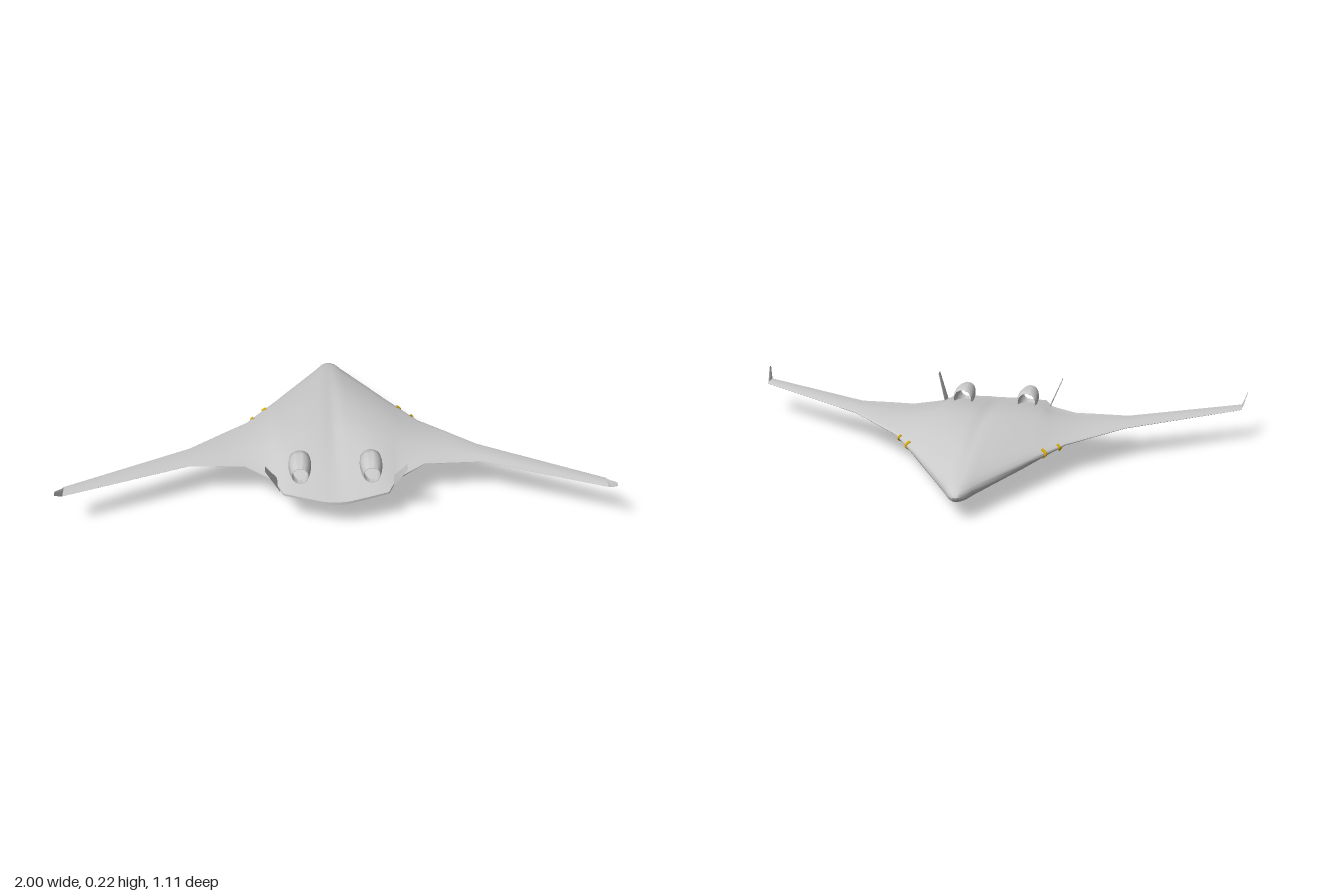
import * as THREE from 'three';
import { toCreasedNormals } from 'three/addons/utils/BufferGeometryUtils.js';

const grey = new THREE.MeshStandardMaterial({ color: 0xcccccc, side: THREE.DoubleSide });
const yellow = new THREE.MeshStandardMaterial({ color: 0xe0b000 });

// Airfoil: [fraction of chord, fraction of full thickness]
const FOIL = [[0, 0], [0.004, 0.12], [0.015, 0.22], [0.05, 0.37], [0.1, 0.51], [0.15, 0.62], [0.24, 0.8],
  [0.33, 0.93], [0.44, 1], [0.55, 0.99], [0.61, 0.94], [0.7, 0.8], [0.8, 0.57], [0.89, 0.32], [1, 0.06]];

// Closed section for a station [x, leadZ, trailZ, leadY, trailY, topY, bottomY]
function section([x, z0, z1, y0, y1, top, bottom]) {
  const mid = y0 + (y1 - y0) * 0.48;
  const at = ([t, f], peak) => [x, z0 === z1 ? z0 : y0 + (y1 - y0) * t + f * (peak - mid), z0 + (z1 - z0) * t];
  const upper = FOIL.map((p) => at(p, top));
  const lower = FOIL.slice(1).reverse().map((p) => at(p, bottom));
  return [...upper, ...lower];
}

// Skin over sections ordered by growing x, closed at both ends
function loft(name, stations) {
  const rings = stations.map(section);
  const n = rings[0].length;
  const index = [];
  for (let i = 0; i < rings.length - 1; i++) {
    for (let j = 0; j < n; j++) {
      const k = (j + 1) % n;
      const a = i * n + j, b = i * n + k, c = (i + 1) * n + k, d = (i + 1) * n + j;
      index.push(a, b, c, a, c, d);
    }
  }
  const last = (rings.length - 1) * n;
  for (let j = 1; j < n - 1; j++) {
    index.push(0, j + 1, j, last, last + j, last + j + 1);
  }
  const geo = new THREE.BufferGeometry();
  geo.setAttribute('position', new THREE.Float32BufferAttribute(rings.flat(2), 3));
  geo.setIndex(index);
  const mesh = new THREE.Mesh(toCreasedNormals(geo, 0.7), grey);
  mesh.name = name;
  return mesh;
}

const mirrored = (stations) => stations.map(([x, ...rest]) => [-x, ...rest]).reverse();

function tube(name, points, radius) {
  const curve = new THREE.CatmullRomCurve3(points.map((p) => new THREE.Vector3(...p)));
  const mesh = new THREE.Mesh(new THREE.TubeGeometry(curve, 16, radius, 8), yellow);
  mesh.name = name;
  return mesh;
}

export function createModel() {
  const model = new THREE.Group();
  model.name = 'blendedWingAircraft';

  // Blended body and wings, centre line to wing tip
  const half = [
    [0, -0.56, 0.52, 0.092, 0.1, 0.183, 0],
    [0.012, -0.557, 0.52, 0.092, 0.1, 0.184, 0.003],
    [0.028, -0.542, 0.519, 0.092, 0.1, 0.186, 0.01],
    [0.05, -0.5, 0.517, 0.093, 0.102, 0.187, 0.019],
    [0.12, -0.38, 0.497, 0.1, 0.108, 0.181, 0.034],
    [0.19, -0.262, 0.475, 0.107, 0.114, 0.172, 0.049],
    [0.22, -0.21, 0.4, 0.11, 0.118, 0.166, 0.061],
    [0.25, -0.163, 0.37, 0.114, 0.122, 0.159, 0.073],
    [0.33, -0.035, 0.305, 0.121, 0.13, 0.142, 0.107],
    [0.42, 0.05, 0.303, 0.125, 0.132, 0.139, 0.115],
    [0.54, 0.165, 0.3, 0.129, 0.133, 0.138, 0.122],
    [0.98, 0.435, 0.5, 0.137, 0.138, 0.141, 0.134],
  ];
  model.add(loft('bodyAndWings', [...mirrored(half.slice(1)), ...half]));

  // Upturned wing tips and canted tail fins
  const winglet = [
    [0.979, 0.435, 0.5, 0.137, 0.138, 0.141, 0.134],
    [0.986, 0.465, 0.515, 0.147, 0.147, 0.151, 0.143],
    [1, 0.53, 0.553, 0.177, 0.175, 0.178, 0.174],
  ];
  const fin = [
    [0.203, 0.35, 0.425, 0.095, 0.095, 0.103, 0.087],
    [0.255, 0.446, 0.482, 0.215, 0.215, 0.219, 0.211],
  ];
  model.add(loft('leftWinglet', winglet), loft('rightWinglet', mirrored(winglet)));
  model.add(loft('leftTailFin', fin), loft('rightTailFin', mirrored(fin)));

  // Open nacelles: outer skin from the intake aft, then the inner duct forward
  const outline = [[0.035, 0], [0.038, 0.003], [0.041, 0.03], [0.0415, 0.06], [0.038, 0.09], [0.031, 0.123],
    [0.029, 0.123], [0.034, 0.08], [0.035, 0.04], [0.033, 0.004], [0.035, 0]];
  const lathe = new THREE.LatheGeometry(outline.map(([r, z]) => new THREE.Vector2(r, z)), 32);
  lathe.rotateX(Math.PI / 2);
  const nacelleGeo = toCreasedNormals(lathe, 0.8);

  for (const [side, s] of [['left', 1], ['right', -1]]) {
    const nacelle = new THREE.Mesh(nacelleGeo, grey);
    nacelle.name = side + 'Engine';
    nacelle.position.set(0.13 * s, 0.163, 0.308);
    model.add(nacelle);

    // Yellow door trims along the wing root edge
    model.add(
      tube(side + 'FrontTrim', [[0.252 * s, 0.134, -0.13], [0.268 * s, 0.117, -0.135], [0.254 * s, 0.1, -0.128]], 0.006),
      tube(side + 'RearTrim', [[0.302 * s, 0.132, -0.062], [0.312 * s, 0.12, -0.066], [0.308 * s, 0.106, -0.05],
        [0.312 * s, 0.105, -0.02]], 0.005),
      tube(side + 'LowerTrim', [[0.325 * s, 0.112, 0], [0.333 * s, 0.107, 0.07], [0.34 * s, 0.108, 0.155]], 0.004),
    );
  }
  return model;
}
